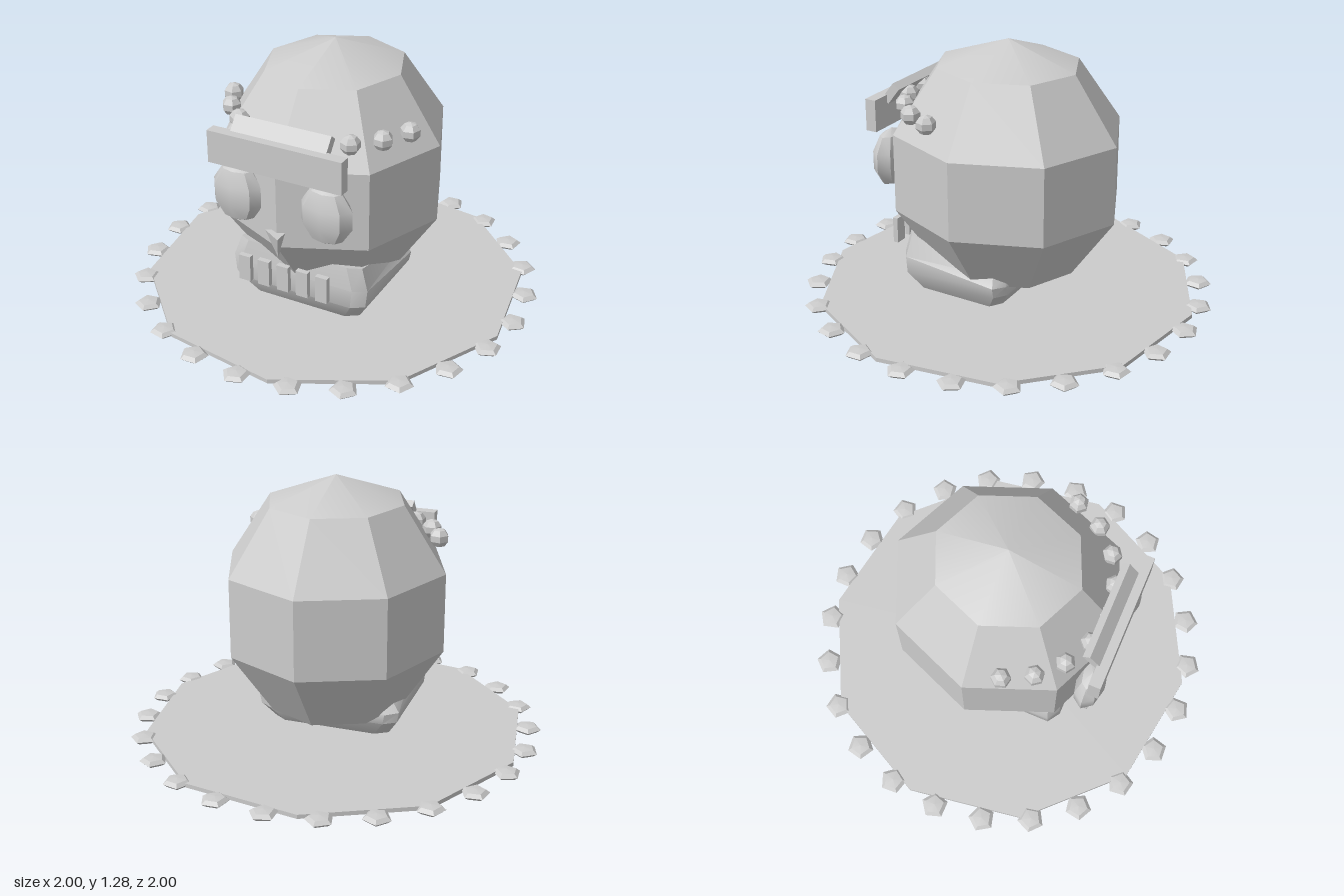
import * as THREE from 'three';
import { toCreasedNormals } from 'three/addons/utils/BufferGeometryUtils.js';

export function createModel() {
  const model = new THREE.Group();
  const stone = new THREE.MeshStandardMaterial({ color: 0xcccccc });
  stone.name = 'pale stone';

  function add(name, geometry, x = 0, y = 0, z = 0, crease = 0.5) {
    const mesh = new THREE.Mesh(toCreasedNormals(geometry, crease), stone);
    mesh.name = name;
    mesh.position.set(x, y, z);
    model.add(mesh);
    return mesh;
  }
  const ball = (rx, ry, rz, across, down) =>
    new THREE.SphereGeometry(1, across, down).scale(rx, ry, rz);

  // Ten-sided base plate
  add('basePlate', new THREE.CylinderGeometry(0.925, 0.925, 0.02, 10), 0, 0.028, 0)
    .rotation.y = THREE.MathUtils.degToRad(9);

  // Flattened beads around the rim
  for (let i = 0; i < 24; i++) {
    const a = (i / 24) * Math.PI * 2;
    add('rimBead', ball(0.067, 0.022, 0.067, 5, 4),
      Math.sin(a) * 0.935, 0.03, Math.cos(a) * 0.935, 0.2).rotation.y = a;
  }

  // Cranium
  add('cranium', ball(0.558, 0.615, 0.589, 8, 5), 0, 0.668, 0);

  // Jaw: chamfered rectangular sections, higher at the front
  add('jaw', jawGeometry(), 0, 0, 0.122, 0.6);

  // Eyes
  for (const s of [-1, 1]) {
    add('eye', ball(0.132, 0.146, 0.073, 8, 5), s * 0.225, 0.68, 0.51, 0.6);
  }

  // Nose: three-sided cone pointing down
  const nose = new THREE.ConeGeometry(0.062, 0.125, 3);
  nose.rotateX(Math.PI).rotateY(Math.PI / 2);
  add('nose', nose, 0.004, 0.49, 0.56);

  // Teeth
  for (let i = -2; i <= 2; i++) {
    add('tooth', new THREE.BoxGeometry(0.06, 0.13, 0.026), i * 0.1, 0.287, 0.508);
  }

  // Headband plates
  add('browPlate', new THREE.BoxGeometry(0.666, 0.156, 0.055), 0, 0.912, 0.549);
  add('crestPlate', new THREE.BoxGeometry(0.475, 0.1, 0.042), 0, 1.0, 0.5)
    .rotation.x = -0.66;

  // Headband beads
  for (let i = -4; i <= 4; i++) {
    const a = THREE.MathUtils.degToRad(i * 17.7);
    add('bandBead', ball(0.048, 0.047, 0.048, 6, 5),
      Math.sin(a) * 0.48, 0.98, Math.cos(a) * 0.48, 0.2).rotation.y = a;
  }

  return model;
}

function jawGeometry() {
  // Each row: height, half width, half depth
  const rows = [
    [0.05, 0.29, 0.225], [0.14, 0.345, 0.28], [0.21, 0.355, 0.28], [0.285, 0.32, 0.265],
  ];
  const n = 8, pos = [], index = [];
  rows.forEach(([y, w, d], r) => {
    const cx = w - 0.06, cz = d - 0.04;
    const ring = [[cx, d], [w, cz], [w, -cz], [cx, -d], [-cx, -d], [-w, -cz], [-w, cz], [-cx, d]];
    const tilt = [0, 0.02, 0.1, 0.235][r];
    for (const [x, z] of ring) pos.push(x, y + z * tilt, z);
  });
  for (let r = 0; r < rows.length - 1; r++) {
    for (let i = 0; i < n; i++) {
      const a = r * n + i, b = r * n + (i + 1) % n;
      index.push(a, b, b + n, a, b + n, a + n);
    }
  }
  // Shallow point below, closed top above
  const low = pos.length / 3, high = low + 1, last = (rows.length - 1) * n;
  pos.push(0, 0, -0.01, 0, 0.29, 0);
  for (let i = 0; i < n; i++) {
    const j = (i + 1) % n;
    index.push(low, j, i, high, last + i, last + j);
  }
  const g = new THREE.BufferGeometry();
  g.setAttribute('position', new THREE.Float32BufferAttribute(pos, 3));
  g.setIndex(index);
  return g;
}
